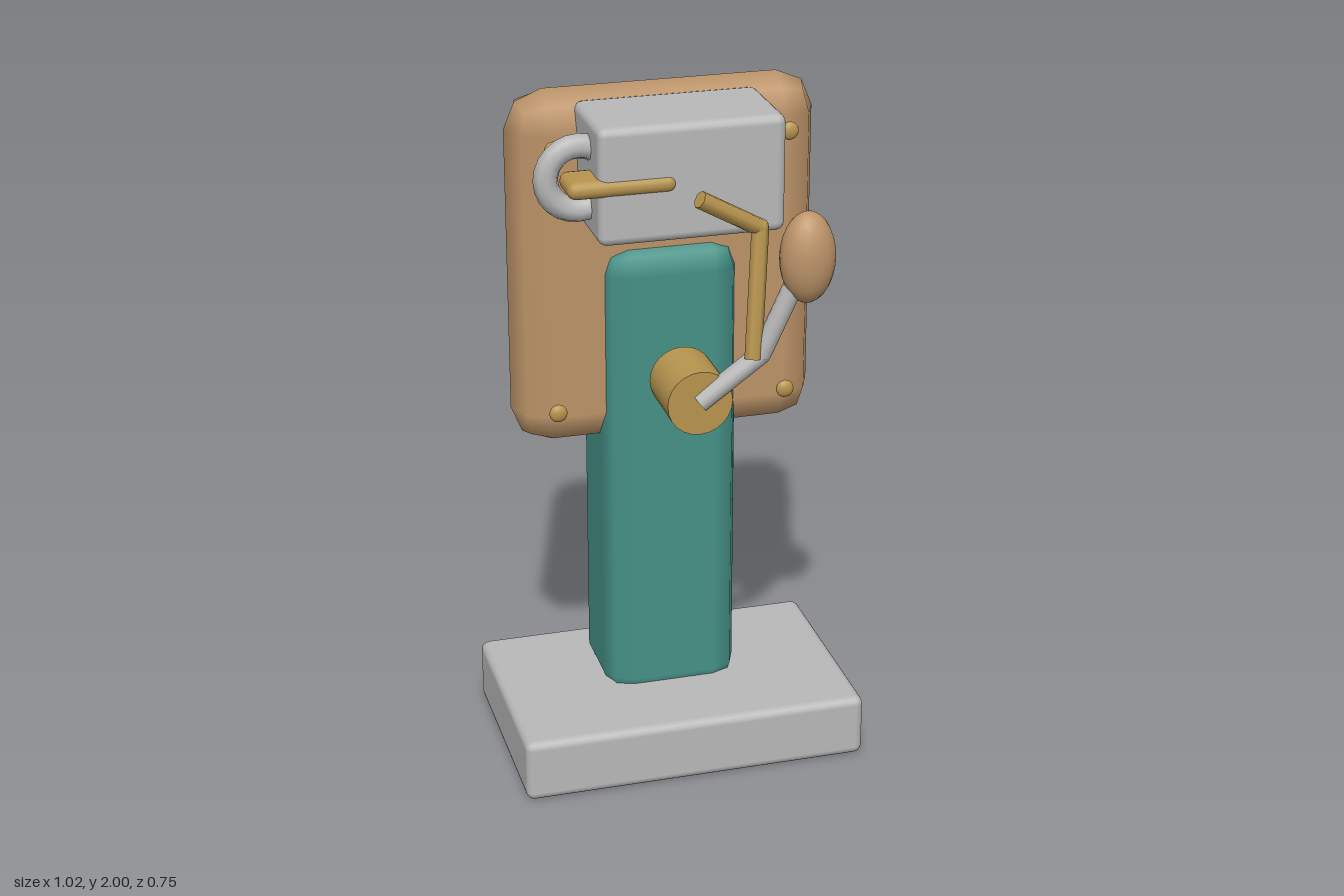
import * as THREE from 'three';
import { RoundedBoxGeometry } from 'three/addons/geometries/RoundedBoxGeometry.js';

const material = (name, color) => {
  const m = new THREE.MeshStandardMaterial({ color });
  m.name = name;
  return m;
};

export function createModel() {
  const group = new THREE.Group();
  const grey = material('grey metal', 0xb8b8b8);
  const tan = material('tan wood', 0xbd9469);
  const teal = material('teal paint', 0x459187);
  const brass = material('brass', 0xb8954f);

  const add = (name, geometry, mat, x = 0, y = 0, z = 0, parent = group) => {
    const mesh = new THREE.Mesh(geometry, mat);
    mesh.name = name;
    mesh.position.set(x, y, z);
    parent.add(mesh);
    return mesh;
  };

  // Rounded box given by its lower and upper corners
  const block = (name, mat, min, max, radius, segments) => add(name,
    new RoundedBoxGeometry(max[0] - min[0], max[1] - min[1], max[2] - min[2], segments, radius),
    mat, ...min.map((v, i) => (v + max[i]) / 2));

  // Chain of straight rods through a list of points
  const rods = (name, mat, radius, sides, points) => {
    const chain = new THREE.Group();
    chain.name = name;
    group.add(chain);
    const p = points.map((q) => new THREE.Vector3(...q));
    for (let i = 0; i < p.length - 1; i++) {
      const dir = p[i + 1].clone().sub(p[i]);
      const mid = p[i].clone().lerp(p[i + 1], 0.5);
      const rod = add(name + 'Section', new THREE.CylinderGeometry(radius, radius, dir.length(), sides),
        mat, mid.x, mid.y, mid.z, chain);
      rod.quaternion.setFromUnitVectors(new THREE.Vector3(0, 1, 0), dir.normalize());
      // Elbow filling the joint
      if (i > 0) add(name + 'Elbow', new THREE.SphereGeometry(radius, 10, 8), mat, p[i].x, p[i].y, p[i].z, chain);
    }
  };

  // Ellipsoid
  const oval = (name, mat, rx, ry, rz, x, y, z) =>
    add(name, new THREE.SphereGeometry(1, 20, 14), mat, x, y, z).scale.set(rx, ry, rz);

  // Stand and backboard
  block('base', grey, [-0.51, 0, -0.38], [0.51, 0.19, 0.275], 0.025, 2);
  block('column', teal, [-0.2, 0.13, -0.315], [0.2, 1.56, 0.02], 0.08, 1);
  block('backboard', tan, [-0.443, 0.955, -0.25], [0.443, 2, -0.032], 0.108, 1);

  // Bolts at the board corners
  for (const x of [-0.335, 0.335]) {
    for (const y of [1.09, 1.865]) oval('bolt', brass, 0.026, 0.026, 0.015, x, y, -0.002);
  }

  // Housing with side ring and latch bar
  block('housing', grey, [-0.261, 1.65, -0.086], [0.261, 1.98, 0.208], 0.025, 2);
  add('ring', new THREE.TorusGeometry(0.09, 0.035, 8, 24), grey, -0.29, 1.815, 0.091);
  block('latchBar', brass, [-0.345, 1.79, 0.085], [-0.045, 1.84, 0.217], 0.024, 2);

  // Pivot drum
  add('pivotDrum', new THREE.CylinderGeometry(0.093, 0.093, 0.19, 24), brass, 0, 1.2, 0.185)
    .rotation.x = Math.PI / 2;

  // Crank arm with its grip
  rods('crankArm', grey, 0.028, 12, [[0, 1.2, 0.272], [0.17, 1.33, 0.285], [0.275, 1.58, 0.308]]);
  oval('grip', tan, 0.078, 0.13, 0.065, 0.29, 1.61, 0.31);

  // Linkage lever
  rods('lever', brass, 0.025, 7, [[0, 1.785, 0.265], [0.178, 1.68, 0.235], [0.143, 1.325, 0.298]]);

  return group;
}
